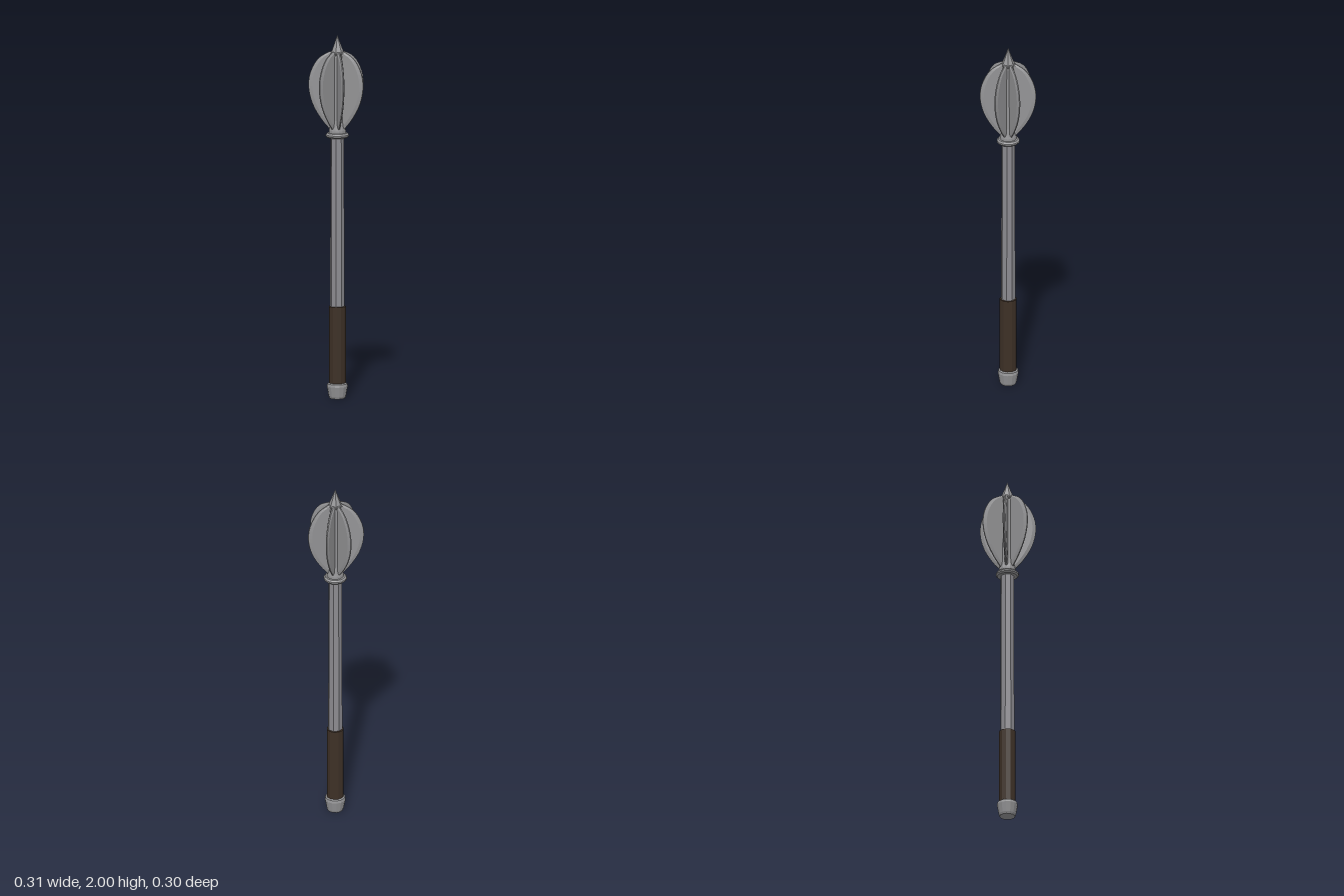
import * as THREE from 'three';

const mat = (name, color, flat = true) => {
  const m = new THREE.MeshStandardMaterial({ color, flatShading: flat });
  m.name = name;
  return m;
};

// Blade built from horizontal sections, following an outline of [height, reach]
function flangeGeometry() {
  const outline = [[1.48, 0.04], [1.53, 0.082], [1.6, 0.125], [1.66, 0.147], [1.72, 0.156],
    [1.78, 0.15], [1.84, 0.125], [1.88, 0.092], [1.908, 0.042]];
  const curve = new THREE.CatmullRomCurve3(outline.map(([y, r]) => new THREE.Vector3(0, y, r)));
  const rows = curve.getPoints(20), pos = [], idx = [];
  const n = 6, half = 0.009, edge = 0.003;
  for (const { y, z: r } of rows) {
    const shoulder = r - Math.min(0.02, (r - 0.02) * 0.5);
    pos.push(half, y, 0.01, half, y, shoulder, edge, y, r,
      -edge, y, r, -half, y, shoulder, -half, y, 0.01);
  }
  for (let i = 0; i < rows.length - 1; i++) {
    for (let j = 0; j < n; j++) {
      const a = i * n + j, b = i * n + (j + 1) % n;
      idx.push(a, a + n, b, b, a + n, b + n);
    }
  }
  const top = (rows.length - 1) * n;
  for (let j = 1; j < n - 1; j++) {
    idx.push(0, j, j + 1);
    idx.push(top, top + j + 1, top + j);
  }
  const g = new THREE.BufferGeometry();
  g.setAttribute('position', new THREE.Float32BufferAttribute(pos, 3));
  g.setIndex(idx);
  g.computeVertexNormals();
  return g;
}

export function createModel() {
  const model = new THREE.Group();
  const steel = mat('steel', 0x949496);
  const shaftSteel = mat('shaft steel', 0x8c8b90);
  const leather = mat('dark leather', 0x3d3026);

  const add = (name, geometry, material, turn = 0) => {
    const m = new THREE.Mesh(geometry, material);
    m.name = name;
    m.rotation.y = turn;
    model.add(m);
    return m;
  };
  const turned = (name, profile, sides, material, turn = 0) =>
    add(name, new THREE.LatheGeometry(profile.map(([r, y]) => new THREE.Vector2(r, y)), sides), material, turn);

  // Handle
  turned('pommel', [[0, 0], [0.042, 0], [0.047, 0.012], [0.057, 0.066], [0.054, 0.08], [0.044, 0.086], [0, 0.086]],
    14, steel);
  turned('grip', [[0, 0.08], [0.046, 0.08], [0.046, 0.505], [0.036, 0.507]], 12, leather, Math.PI / 12);
  turned('shaft', [[0.04, 0.48], [0.037, 1.46]], 8, shaftSteel, Math.PI / 8);

  // Collar below the head
  turned('collar', [[0.035, 1.435], [0.055, 1.435], [0.063, 1.443], [0.063, 1.451], [0.055, 1.46], [0.035, 1.462]],
    14, steel);

  // Head core and spike
  turned('headCore', [[0.046, 1.455], [0.046, 1.475], [0.042, 1.495], [0.037, 1.53], [0.036, 1.88], [0.03, 1.895], [0, 1.895]],
    14, steel);
  turned('spike', [[0, 1.88], [0.03, 1.88], [0.038, 1.9], [0.02, 1.945], [0, 2]], 7, steel, Math.PI / 7);

  // Seven flanges around the head
  const blade = flangeGeometry();
  for (let i = 0; i < 7; i++) add('flange' + (i + 1), blade, steel, (i * Math.PI * 2) / 7);

  // The odd number of flanges shifts the shaft slightly back
  for (const part of model.children) part.position.z = -0.008;
  model.name = 'flangedMace';
  return model;
}
